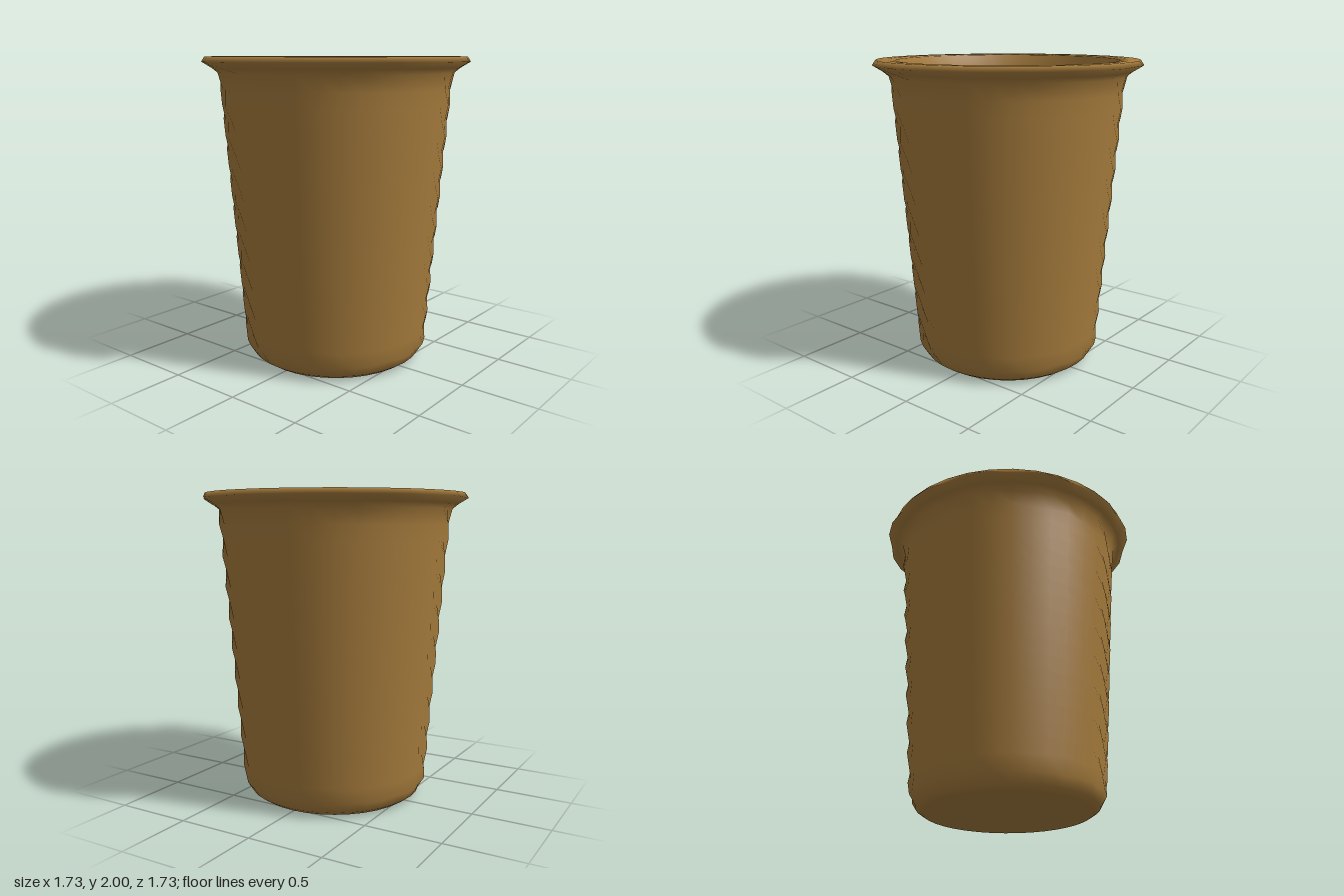
import * as THREE from 'three';

const SIDES = 36;

// Radius wobble: twelve ripples around, flipped on every other ring
function ripple(geometry, rings) {
  const pos = geometry.attributes.position;
  for (let i = 0; i < pos.count; i++) {
    const amount = rings[i % rings.length][2] || 0;
    if (!amount) continue;
    const x = pos.getX(i), z = pos.getZ(i);
    const angle = Math.atan2(z, x) - Math.PI / 9;
    const scale = 1 - amount * Math.cos(12 * angle) / Math.hypot(x, z);
    pos.setX(i, x * scale);
    pos.setZ(i, z * scale);
  }
  return geometry;
}

// Lathe from rings of [radius, height, wobble]; normals stay those of the smooth form
function lathe(name, rings, material) {
  const points = rings.map(([r, y]) => new THREE.Vector2(r, y));
  const mesh = new THREE.Mesh(ripple(new THREE.LatheGeometry(points, SIDES), rings), material);
  mesh.name = name;
  return mesh;
}

export function createModel() {
  const group = new THREE.Group();
  group.name = 'cup';
  const brown = new THREE.MeshStandardMaterial({ color: 0xa57b3c });
  brown.name = 'warm brown';

  const wobble = 0.012;

  // Underside, rounded foot, then the tapered wall in rings
  const rings = [[0, 0], [0.45, 0], [0.53, 0.005], [0.575, 0.035]];
  for (let row = 1; row <= 18; row++) {
    const y = row * 0.1;
    rings.push([0.602 + 0.078 * y, y, row % 2 ? wobble : -wobble]);
  }

  // Flared lip, rim and flat top
  rings.push([0.757, 1.9, wobble], [0.8, 1.93], [0.857, 1.968, wobble], [0.842, 2], [0.77, 2], [0.715, 1.995]);

  // Inner wall and floor
  rings.push([0.705, 1.8], [0.655, 1.0], [0.61, 0.2], [0.59, 0.12], [0.53, 0.1], [0, 0.1]);

  group.add(lathe('cupBody', rings, brown));
  return group;
}
